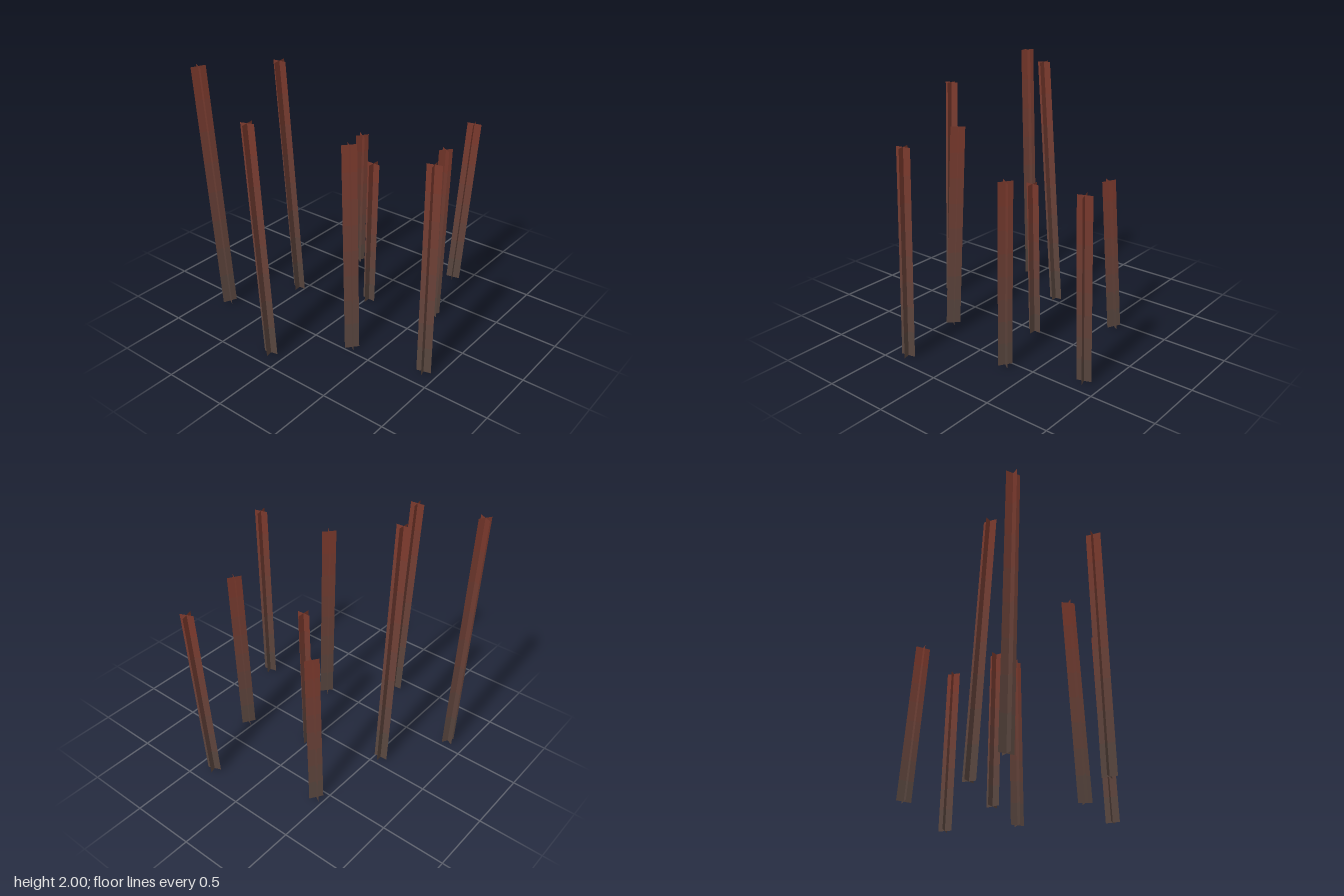
import * as THREE from 'three';
import { mergeGeometries } from 'three/addons/utils/BufferGeometryUtils.js';

const WIDTH = 0.11;
const BANDS = 8;
const BASE = 0.004;

// base x, base z, lean x, lean z, height
const STALKS = [
  [-0.873, -0.116, -0.016, -0.088, 1.8],
  [-0.578, -0.853, -0.086, -0.044, 1.993],
  [-0.074, -0.548, -0.14, 0.011, 1.992],
  [-0.451, 0.314, 0.05, -0.06, 1.607],
  [-0.36, 0.896, 0.042, -0.011, 1.607],
  [0.14, 0.018, 0, 0.035, 1.223],
  [0.283, 0.55, 0.034, 0.022, 1.414],
  [0.582, -0.434, -0.048, 0.074, 1.222],
  [0.854, 0.373, 0.032, 0.095, 1.414],
];

// Two upright strips crossing at right angles, one unit tall, standing on y = 0
function crossedStrips() {
  const across = new THREE.PlaneGeometry(WIDTH, 1).translate(0, 0.5, 0);
  return mergeGeometries([across, across.clone().rotateY(Math.PI / 2)]);
}

// Colour fades from grey-brown at the ground to rust red at the tip
function bandMaterials() {
  const low = new THREE.Color(0x54463f);
  const high = new THREE.Color(0x7c382b);
  return Array.from({ length: BANDS }, (_, i) => new THREE.MeshStandardMaterial({
    color: low.clone().lerp(high, (i + 0.5) / BANDS),
    side: THREE.DoubleSide,
  }));
}

export function createModel() {
  const model = new THREE.Group();
  model.name = 'stalkCluster';
  const strips = crossedStrips();
  const materials = bandMaterials();

  STALKS.forEach(([x, z, leanX, leanZ, height], n) => {
    const stalk = new THREE.Group();
    stalk.name = `stalk${n + 1}`;
    const lean = Math.hypot(leanX, leanZ);
    const length = Math.hypot(lean, height);

    // Turn towards the lean direction, then tip over
    stalk.rotation.set(Math.atan2(lean, height), Math.atan2(leanX, leanZ), 0, 'YXZ');
    stalk.position.set(x, BASE, z);

    // Colour bands from ground to tip
    materials.forEach((material, i) => {
      const band = new THREE.Mesh(strips, material);
      band.name = `stalkBand${i + 1}`;
      band.scale.y = length / BANDS;
      band.position.y = (i * length) / BANDS;
      stalk.add(band);
    });
    model.add(stalk);
  });
  return model;
}
